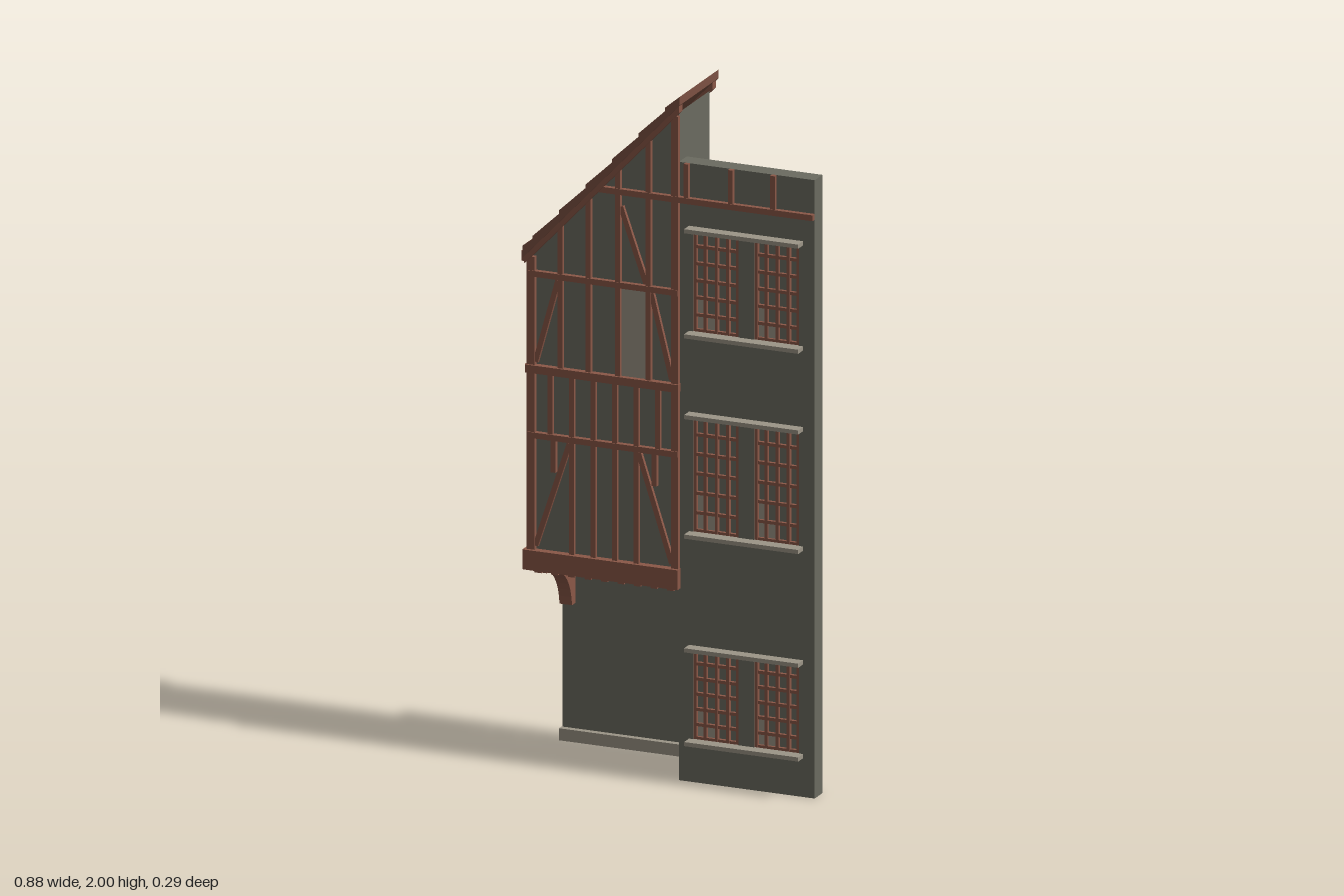
import * as THREE from 'three';

export function createModel() {
  const group = new THREE.Group();
  const material = (name, color) => {
    const m = new THREE.MeshStandardMaterial({ color });
    m.name = name;
    return m;
  };
  const wall = material('grey plaster', 0x6b6b60);
  const timber = material('red timber', 0x8a5747);
  const tile = material('brown roof tile', 0x7c5142);
  const stone = material('pale stone', 0x9c9587);

  const add = (name, geometry, mat) => {
    const mesh = new THREE.Mesh(geometry, mat);
    mesh.name = name;
    group.add(mesh);
    return mesh;
  };
  const box = (name, mat, x0, x1, y0, y1, z0, z1) => {
    const mesh = add(name, new THREE.BoxGeometry(x1 - x0, y1 - y0, z1 - z0), mat);
    mesh.position.set((x0 + x1) / 2, (y0 + y1) / 2, (z0 + z1) / 2);
    return mesh;
  };
  const polygon = (points) => new THREE.Shape(points.map(([x, y]) => new THREE.Vector2(x, y)));
  const prism = (name, mat, shape, z0, z1) => {
    const geometry = new THREE.ExtrudeGeometry(shape, { depth: z1 - z0, bevelEnabled: false, curveSegments: 8 });
    return add(name, geometry.translate(0, 0, z0), mat);
  };
  // height of the sloping roof line
  const roofY = (x) => 2 + 1.063 * (x - 0.045);

  // Ground floor behind the overhang
  box('groundWall', wall, -0.415, 0.03, 0, 0.6, -0.147, -0.098);
  box('groundSideWall', wall, 0.026, 0.048, 0, 0.6, -0.098, 0.062);
  box('plinth', stone, -0.418, 0.026, 0, 0.035, -0.098, -0.08);

  // Overhanging upper storeys with a sloping top
  prism('upperStoreys', wall, polygon([
    [-0.415, 0.57], [0.03, 0.57], [0.03, roofY(0.03) - 0.04], [-0.415, roofY(-0.415) - 0.04],
  ]), -0.095, 0.113);

  // Roof: stepped tile courses over timber edge boards
  const steps = [-0.43, -0.4, -0.32, -0.24, -0.16, -0.08, 0, 0.045];
  const profile = [[0.045, roofY(0.045) - 0.025], [0.045, roofY(0.045)]];
  for (let i = steps.length - 2; i >= 0; i--) {
    profile.push([steps[i], roofY(steps[i]) + 0.01]);
    if (i > 0) profile.push([steps[i], roofY(steps[i])]);
  }
  profile.push([-0.43, roofY(-0.43) - 0.025]);
  prism('roofTiles', tile, polygon(profile), -0.125, 0.143);
  const edge = polygon([
    [-0.428, roofY(-0.428) - 0.045], [0.04, roofY(0.04) - 0.045],
    [0.04, roofY(0.04) - 0.024], [-0.428, roofY(-0.428) - 0.024],
  ]);
  prism('frontRoofBoard', timber, edge, 0.113, 0.138);
  prism('backRoofBoard', timber, edge, -0.118, -0.095);
  box('eavesBoard', timber, -0.44, -0.415, 1.455, 1.485, -0.11, 0.127);

  // Front timber frame
  const z0 = 0.112, z1 = 0.126;
  const stud = (x, y0, y1, w = 0.015) =>
    box('frontStud', timber, x - w / 2, x + w / 2, y0, Math.min(y1, roofY(x - w / 2) - 0.03), z0, z1);
  const brace = (xa, ya, xb, yb) => {
    const length = Math.hypot(xb - xa, yb - ya);
    const mesh = add('frontBrace', new THREE.BoxGeometry(0.015, length, z1 - z0 - 0.002), timber);
    mesh.position.set((xa + xb) / 2, (ya + yb) / 2, (z0 + z1) / 2 - 0.001);
    mesh.rotation.z = Math.atan2(xa - xb, yb - ya);
  };
  stud(-0.413, 0.6, 2, 0.024);
  stud(0.022, 0.6, 2, 0.02);
  box('sillBeam', timber, -0.432, 0.035, 0.56, 0.618, 0.09, 0.136);
  box('middleRail', timber, -0.425, 0.032, 0.943, 0.96, z0, z1 + 0.003);
  box('floorBeam', timber, -0.428, 0.035, 1.133, 1.156, z0, z1 + 0.006);
  box('upperRail', timber, -0.425, 0.032, 1.413, 1.43, z0, z1 + 0.002);
  box('topRail', timber, -0.215, 0.44, 1.685, 1.702, z0, z1 + 0.002);

  for (const x of [-0.355, -0.29, -0.225, -0.16, -0.095, -0.03]) stud(x, 0.96, 1.135);
  for (const x of [-0.29, -0.225, -0.16, -0.095]) stud(x, 0.618, 0.945);
  stud(-0.345, 0.85, 0.945);
  stud(-0.04, 0.85, 0.945);
  brace(-0.4, 0.63, -0.297, 0.94);
  brace(0.012, 0.63, -0.088, 0.94);
  for (const x of [-0.325, -0.24, -0.15, -0.058]) {
    stud(x, 1.156, 1.415);
    stud(x, 1.43, 2);
  }
  brace(-0.4, 1.165, -0.332, 1.41);
  brace(0.012, 1.165, -0.05, 1.41);
  brace(-0.142, 1.65, -0.066, 1.435);
  box('palePanel', stone, -0.143, -0.066, 1.156, 1.413, 0.112, 0.117);
  for (let i = 0; i < 9; i++) {
    const x = -0.4 + i * 0.05;
    box('joistEnd', timber, x, x + 0.02, 0.553, 0.575, 0.09, 0.128);
  }

  // Side timber frame
  for (const [z, w] of [[-0.092, 0.026], [-0.026, 0.014], [0.044, 0.014], [0.109, 0.026]]) {
    box('sideStud', timber, -0.426, -0.413, 0.6, 1.47, z - w / 2, z + w / 2);
  }
  box('sideSill', timber, -0.434, -0.41, 0.56, 0.618, -0.1, 0.134);
  box('sideFloorBeam', timber, -0.43, -0.413, 1.133, 1.156, -0.106, 0.128);

  // Curved bracket under the overhang
  const curve = new THREE.Shape();
  curve.moveTo(-0.1, 0.4);
  curve.lineTo(-0.075, 0.4);
  curve.quadraticCurveTo(-0.06, 0.53, 0.1, 0.545);
  curve.lineTo(0.1, 0.572);
  curve.lineTo(-0.1, 0.572);
  const bracket = new THREE.ExtrudeGeometry(curve, { depth: 0.038, bevelEnabled: false, curveSegments: 10 });
  add('bracket', bracket.rotateY(-Math.PI / 2).translate(-0.376, 0, 0), timber);

  // Right-hand wall pierced by six windows
  const facade = polygon([[0.03, 0], [0.44, 0], [0.44, 1.8], [0.03, 1.8]]);
  const columns = [[0.072, 0.21], [0.257, 0.392]];
  const floors = [[0.123, 0.388], [0.727, 1.067], [1.31, 1.608]];
  for (const [y0, y1] of floors) {
    for (const [x0, x1] of columns) {
      facade.holes.push(new THREE.Path([[x0, y0], [x0, y1], [x1, y1], [x1, y0]]
        .map(([x, y]) => new THREE.Vector2(x, y))));
    }
  }
  prism('facadeWall', wall, facade, 0.06, 0.113);

  // Windows: panes, glazing bars and stone ledges
  for (const [y0, y1] of floors) {
    for (const [x0, x1] of columns) {
      const w = (x1 - x0) / 4, rows = 6, h = (y1 - y0) / rows, b = 0.0045;
      box('windowPane', wall, x0, x1, y0, y1, 0.072, 0.098);
      for (let i = 0; i <= 4; i++) {
        const x = THREE.MathUtils.clamp(x0 + i * w, x0 + b, x1 - b);
        box('glazingBar', timber, x - b, x + b, y0, y1, 0.097, 0.11);
      }
      for (let j = 0; j <= rows; j++) {
        const y = THREE.MathUtils.clamp(y0 + j * h, y0 + b, y1 - b);
        box('glazingRail', timber, x0, x1, y - b, y + b, 0.097, 0.108);
      }
      for (const [c, r] of [[0, 0], [0, 1], [1, 0]]) {
        box('palePane', stone, x0 + c * w, x0 + (c + 1) * w, y0 + r * h, y0 + (r + 1) * h, 0.097, 0.1);
      }
    }
    for (const y of [y0 - 0.004, y1 + 0.004]) {
      box('windowLedge', stone, 0.06, 0.405, y - 0.006, y + 0.006, 0.11, 0.147);
    }
  }

  // Short studs above the top rail
  for (const x of [0.056, 0.19, 0.318]) {
    box('parapetStud', timber, x - 0.007, x + 0.007, 1.7, 1.8, z0, z1);
  }
  return group;
}
